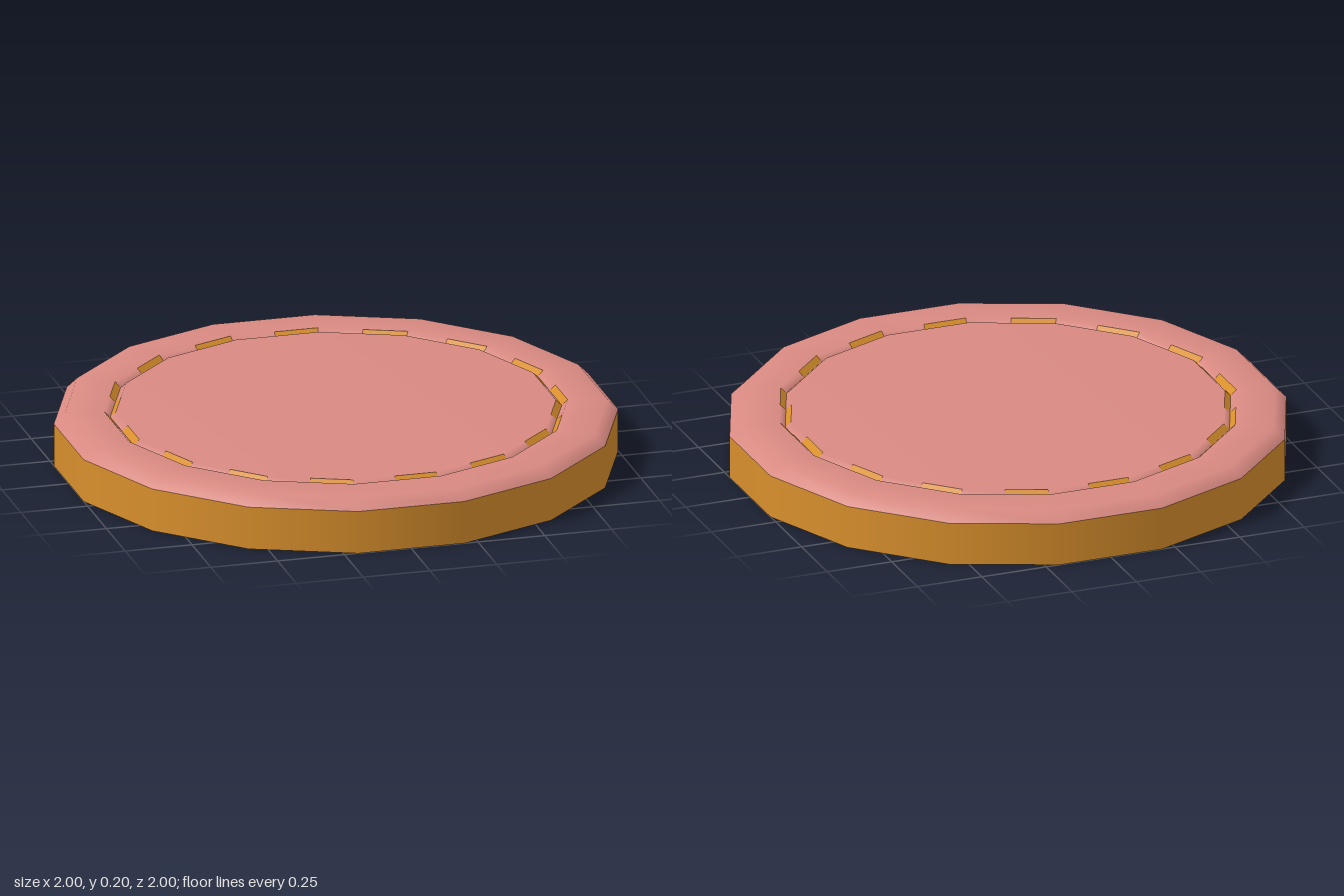
import * as THREE from 'three';

const SIDES = 16;
const STEP = (Math.PI * 2) / SIDES;
const GROOVE = { inner: 0.795, mid: 0.816, outer: 0.837, top: 0.2, low: 0.18 };

// Sixteen-sided turned part, with a flat side facing front
function turned(name, profile, material) {
  const points = profile.map(([r, y]) => new THREE.Vector2(r, y));
  const mesh = new THREE.Mesh(new THREE.LatheGeometry(points, SIDES, STEP / 2), material);
  mesh.name = name;
  return mesh;
}

// Point on one straight side of the sixteen-sided ring, t running 0..1 along it
function sidePoint(side, r, y, t) {
  const a = (side + 0.5) * STEP, b = a + STEP;
  return [
    r * THREE.MathUtils.lerp(Math.cos(a), Math.cos(b), t), y + 0.001,
    r * THREE.MathUtils.lerp(Math.sin(a), Math.sin(b), t),
  ];
}

// Gold strips: first half of each inner groove wall, second half of each outer one
function grooveStrips(material) {
  const positions = [];
  const { inner, mid, outer, top, low } = GROOVE;
  for (let i = 0; i < SIDES; i++) {
    for (const [r0, y0, r1, y1, t0, t1] of [
      [inner, top, mid, low, 0, 0.5],
      [mid, low, outer, top, 0.5, 1],
    ]) {
      const a = sidePoint(i, r0, y0, t0), b = sidePoint(i, r0, y0, t1);
      const c = sidePoint(i, r1, y1, t1), d = sidePoint(i, r1, y1, t0);
      positions.push(...a, ...b, ...c, ...a, ...c, ...d);
    }
  }
  const geometry = new THREE.BufferGeometry();
  geometry.setAttribute('position', new THREE.Float32BufferAttribute(positions, 3));
  geometry.computeVertexNormals();
  const mesh = new THREE.Mesh(geometry, material);
  mesh.name = 'grooveStrips';
  return mesh;
}

export function createModel() {
  const pink = new THREE.MeshStandardMaterial({ color: 0xd98a82 });
  const gold = new THREE.MeshStandardMaterial({ color: 0xd88f2c });
  const brown = new THREE.MeshStandardMaterial({ color: 0xb8835f });
  const { inner, mid, outer, top, low } = GROOVE;

  const model = new THREE.Group();
  model.name = 'roundPlate';
  model.add(
    // Underside and outer wall
    turned('underside', [[0, 0], [1.02, 0]], brown),
    turned('outerWall', [[1.02, 0], [1.02, 0.16]], gold),
    // Chamfered rim, dipping into the groove
    turned('rim', [[1.02, 0.16], [0.98, top], [outer, top], [mid, low]], pink),
    // Central disc, rising out of the groove
    turned('centreDisc', [[mid, low], [inner, top], [0, top]], pink),
    grooveStrips(gold),
  );
  return model;
}
